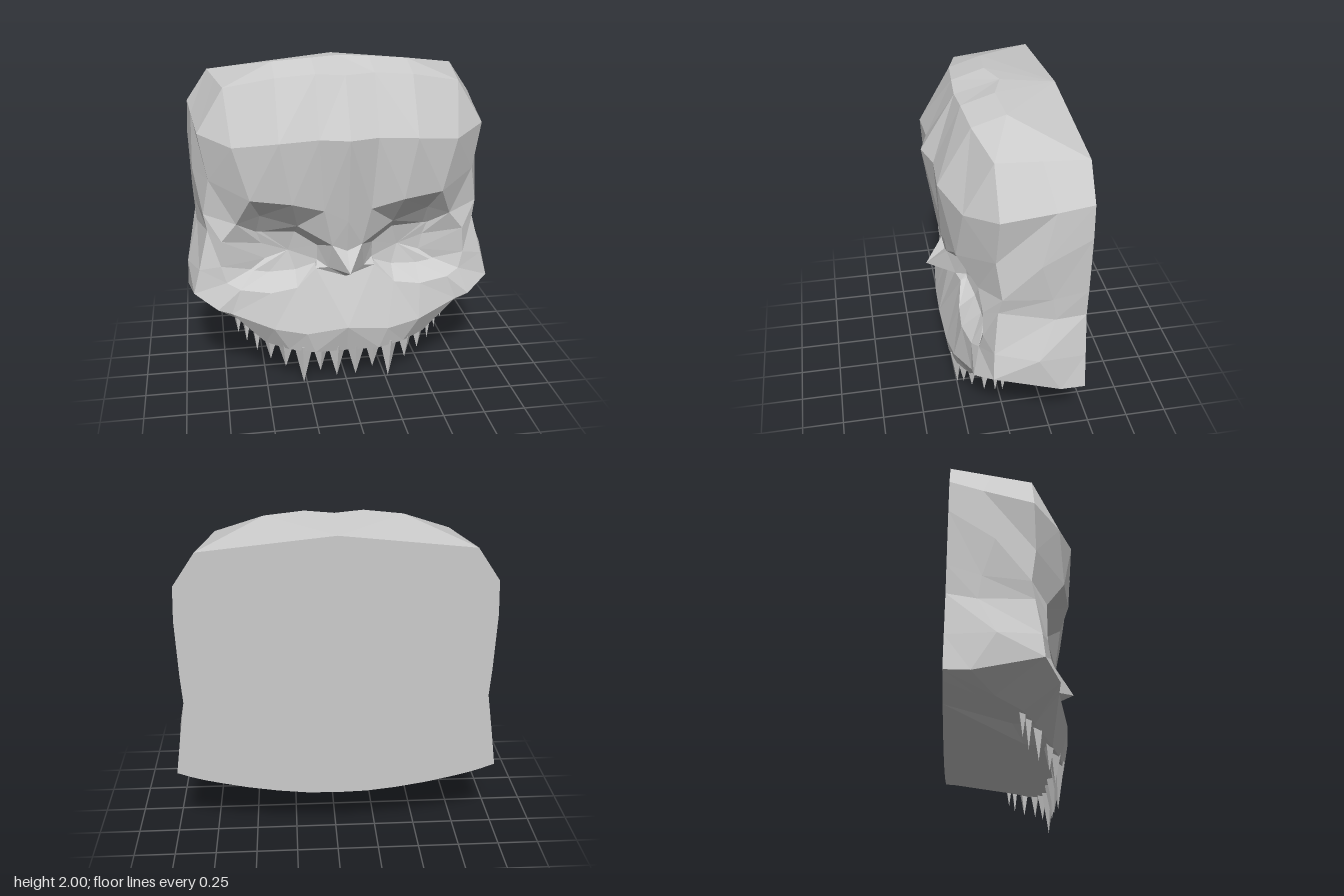
import * as THREE from 'three';

const material = new THREE.MeshStandardMaterial({ color: 0xcccccc, flatShading: true });
const BACK = -0.39;

// Stitch pairs of rows into faces and mirror them across x = 0.
function shell(name, ...strips) {
  const pos = [];
  const tri = (a, b, c) => {
    if (a === b || b === c || a === c) return;
    pos.push(...a, ...b, ...c);
    for (const p of [a, c, b]) pos.push(-p[0], p[1], p[2]);
  };
  for (const [a, b] of strips) {
    for (let i = 0; i < a.length - 1; i++) {
      tri(a[i], b[i], b[i + 1]);
      tri(a[i], b[i + 1], a[i + 1]);
    }
  }
  const g = new THREE.BufferGeometry();
  g.setAttribute('position', new THREE.Float32BufferAttribute(pos, 3));
  g.computeVertexNormals();
  const mesh = new THREE.Mesh(g, material);
  mesh.name = name;
  return mesh;
}
const fan = (row, point) => [row, row.map(() => point)];

export function createModel() {
  const group = new THREE.Group();
  group.name = 'skullMask';

  // Side rows, top to bottom: front ridge, middle, back edge
  const ridge = [[0.69, 1.86, 0.09], [0.85, 1.6, 0.09], [0.8, 1.32, 0.1], [0.84, 1.1, 0.07],
    [0.82, 1.0, 0.09], [0.88, 0.76, 0.12], [0.92, 0.61, 0.13]];
  const middle = [[0.73, 1.87, -0.15], [0.88, 1.65, -0.2], [0.89, 1.33, -0.13], [0.88, 1.1, -0.2],
    [0.88, 0.96, -0.22], [0.95, 0.73, -0.12], [0.96, 0.51, -0.25]];
  const back = [[0.77, 1.88, BACK], [0.9, 1.69, BACK], [0.91, 1.49, BACK], [0.9, 1.15, BACK],
    [0.89, 0.98, BACK], [0.93, 0.72, BACK], [0.96, 0.51, BACK]];
  group.add(shell('sides', [back, middle], [middle, ridge]));

  // Crown and forehead rows, centre to side
  const backTop = [0, 1.96, BACK];
  const crown = [[0, 2, -0.07], [0.17, 2, -0.01], [0.4, 1.98, -0.03], back[0]];
  const hairline = [[0, 1.93, 0.19], [0.17, 1.94, 0.18], [0.4, 1.92, 0.16], ridge[0], ridge[0]];
  const forehead = [[0, 1.6, 0.39], [0.17, 1.6, 0.34], [0.4, 1.59, 0.35], [0.66, 1.55, 0.25], ridge[1]];
  const brow = [[0, 1.09, 0.31], [0.14, 1.16, 0.3], [0.33, 1.22, 0.33], [0.57, 1.24, 0.28], ridge[2]];
  group.add(shell('crown', fan(crown, backTop).reverse(), [crown, hairline.slice(0, 4)]));
  group.add(shell('forehead', [hairline, forehead], [forehead, brow]));

  // Jaw rows, centre to side: lip ridge, gum edge, inner edge, back edge
  const lip = [[0, 0.4, 0.32], [0.25, 0.37, 0.31], [0.45, 0.41, 0.29], [0.7, 0.5, 0.22],
    [0.78, 0.53, 0.22], ridge[6], middle[6], back[6]];
  const gum = [[0, 0.22, 0.27], [0.2, 0.23, 0.29], [0.36, 0.25, 0.26], [0.5, 0.28, 0.2],
    [0.6, 0.37, 0.1], [0.7, 0.4, 0.03], [0.8, 0.44, -0.12], back[6]];
  const inner = [[0, 0.25, 0.13], [0.18, 0.255, 0.13], [0.34, 0.27, 0.1], [0.47, 0.3, 0.05],
    [0.57, 0.38, -0.02], [0.68, 0.41, -0.08], [0.8, 0.445, -0.22], back[6]];
  const base = [[0, 0.34], [0.18, 0.345], [0.36, 0.365], [0.54, 0.395], [0.7, 0.43], [0.8, 0.455], [0.88, 0.48]]
    .map(([x, y]) => [x, y, BACK]).concat([back[6]]);
  group.add(shell('upperJaw', [lip, gum], [gum, inner], [inner, base]));

  // Flat back
  const rim = [...base, ...back.slice(0, 6).reverse(), backTop];
  group.add(shell('backPlate', fan(rim, [0, 1, BACK])));

  // Eye socket: outer rim and floor loops, from the nose over the top and round
  const rimLoop = [[0.09, 0.93, 0.27], [0.29, 1.04, 0.2], [0.51, 1.11, 0.18], [0.65, 1.06, 0.17],
    [0.74, 0.95, 0.16], [0.75, 0.79, 0.16], [0.72, 0.69, 0.18], [0.64, 0.65, 0.21],
    [0.46, 0.63, 0.24], [0.3, 0.65, 0.23], [0.18, 0.76, 0.2], [0.11, 0.77, 0.22]];
  const floorLoop = [[0.17, 0.9, 0.17], [0.3, 0.98, 0.13], [0.5, 0.98, 0.1], [0.53, 0.98, 0.1],
    [0.5, 0.9, 0.09], [0.48, 0.8, 0.09], [0.57, 0.74, 0.11], [0.55, 0.735, 0.12],
    [0.46, 0.72, 0.12], [0.3, 0.73, 0.13], [0.18, 0.78, 0.16], [0.17, 0.8, 0.16]];
  const close = (loop) => [...loop, loop[0]];
  group.add(shell('eyeSockets', [close(rimLoop), close(floorLoop)],
    fan(close(floorLoop), [0.34, 0.85, 0.1])));

  // Brow underside, temple and cheek, joining the socket rim to its surroundings
  const s = rimLoop;
  const noseBase = [0, 0.7, 0.21], noseTip = [0, 0.79, 0.39], bridge = [0, 0.89, 0.27];
  group.add(shell('cheeksAndBrows', [
    [brow[0], brow[1], brow[2], brow[3], brow[3], ridge[2], ridge[3], ridge[4], ridge[5],
      ridge[6], lip[4], lip[3], lip[2], lip[1], lip[0], noseBase],
    [s[0], s[0], s[1], s[2], s[3], s[3], s[3], s[4], s[5],
      s[6], s[6], s[7], s[8], s[9], s[10], s[10]]]));
  group.add(shell('nose', [
    [noseBase, noseBase, noseTip, noseTip, bridge, brow[0]],
    [s[10], s[11], s[11], s[0], s[0], s[0]]]));

  // Teeth: four-sided spikes along the gum edge [tip x, tip y, half width]
  const gumAt = (x) => {
    const i = gum.findIndex((p) => p[0] > x);
    const [a, b] = [gum[i - 1], gum[i]].map((p) => new THREE.Vector3(...p));
    return { point: a.clone().lerp(b, (x - a.x) / (b.x - a.x)), angle: Math.atan2(a.z - b.z, b.x - a.x) };
  };
  const teeth = new THREE.Group();
  teeth.name = 'teeth';
  const sizes = [[0.06, 0.03, 0.06], [0.165, 0.08, 0.05], [0.27, 0, 0.06], [0.38, 0.11, 0.055],
    [0.47, 0.15, 0.045], [0.55, 0.18, 0.04], [0.61, 0.22, 0.035], [0.66, 0.27, 0.035]];
  for (const [x, tipY, w] of sizes) {
    const { point, angle } = gumAt(x);
    const h = point.y + 0.03 - tipY;
    for (const side of [1, -1]) {
      const tooth = new THREE.Mesh(new THREE.ConeGeometry(w, h, 4), material);
      tooth.name = 'tooth';
      tooth.scale.z = 0.7;
      tooth.rotation.set(Math.PI, side * angle, 0, 'YXZ');
      tooth.position.set(side * x, tipY + h / 2, point.z - 0.03);
      teeth.add(tooth);
    }
  }
  group.add(teeth);
  return group;
}
